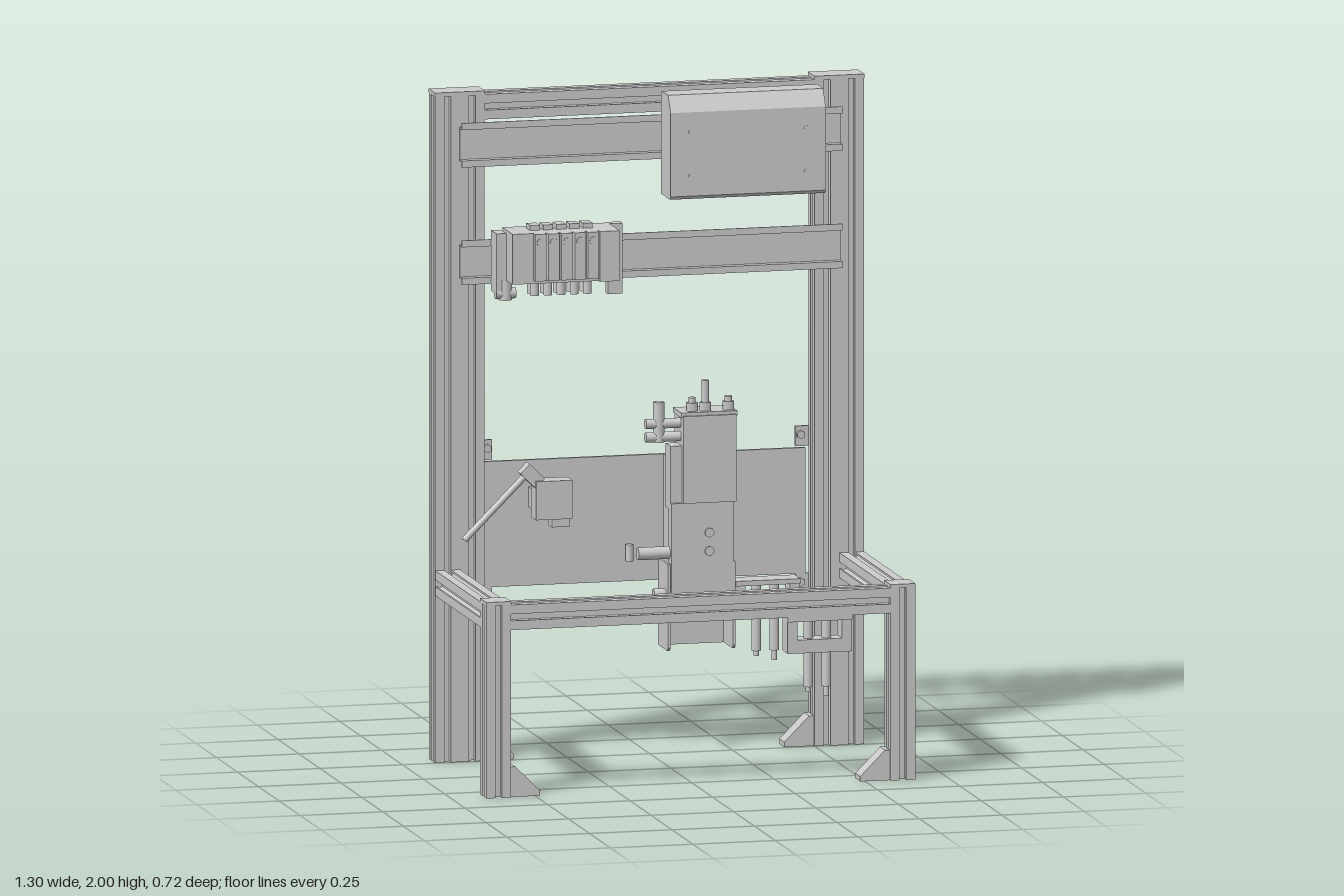
import * as THREE from 'three';

const mat = new THREE.MeshStandardMaterial({ color: 0xcccccc, flatShading: true, side: THREE.DoubleSide });
const smooth = new THREE.MeshStandardMaterial({ color: 0xcccccc });

export function createModel() {
  const root = new THREE.Group();
  const group = (name) => { const g = new THREE.Group(); g.name = name; root.add(g); return g; };
  const add = (parent, name, geo, m = mat) => {
    const mesh = new THREE.Mesh(geo, m);
    mesh.name = name;
    parent.add(mesh);
    return mesh;
  };
  // box from its min and max corners
  const box = (p, name, x0, x1, y0, y1, z0, z1) => {
    const b = add(p, name, new THREE.BoxGeometry(x1 - x0, y1 - y0, z1 - z0));
    b.position.set((x0 + x1) / 2, (y0 + y1) / 2, (z0 + z1) / 2);
    return b;
  };
  // cylinder between two points
  const rod = (p, name, a, b, r, sides = 16) => {
    const A = new THREE.Vector3(...a), d = new THREE.Vector3(...b).sub(A);
    const c = add(p, name, new THREE.CylinderGeometry(r, r, d.length(), sides), smooth);
    c.position.copy(A).addScaledVector(d, 0.5);
    c.quaternion.setFromUnitVectors(new THREE.Vector3(0, 1, 0), d.normalize());
    return c;
  };
  const poly = (pts) => new THREE.Shape(pts.map((q) => new THREE.Vector2(...q)));
  const extrude = (shape, depth) => new THREE.ExtrudeGeometry(shape, { depth, bevelEnabled: false });
  // extrude a [z, y] outline along x
  const alongX = (p, name, pts, x0, x1) => {
    const m = add(p, name, extrude(poly(pts.map(([z, y]) => [-z, y])), x1 - x0));
    m.rotation.y = Math.PI / 2;
    m.position.x = x0;
    return m;
  };

  // slotted aluminium section, n cells wide, T-slots on every side
  const C = 0.075;
  const slotted = (n) => {
    const w = n * C, pts = [];
    const side = (ox, oy, dx, dy, cells) => {
      const at = (s, d) => pts.push([ox + dx * s - dy * d, oy + dy * s + dx * d]);
      at(0, 0);
      for (let i = 0; i < cells; i++) {
        const m = (i + 0.5) * C;
        [[-0.01, 0], [-0.01, 0.006], [-0.019, 0.006], [-0.01, 0.021],
          [0.01, 0.021], [0.019, 0.006], [0.01, 0.006], [0.01, 0]].forEach(([s, d]) => at(m + s, d));
      }
    };
    side(-w / 2, -C / 2, 1, 0, n);
    side(w / 2, -C / 2, 0, 1, 1);
    side(w / 2, C / 2, -1, 0, n);
    side(-w / 2, C / 2, 0, -1, 1);
    const s = poly(pts);
    for (let i = 0; i < n; i++) {
      s.holes.push(new THREE.Path().absarc((i + 0.5) * C - w / 2, 0, 0.008, 0, Math.PI * 2, true));
    }
    return s;
  };
  const beam = (p, name, axis, n, len, x, y, z) => {
    const geo = extrude(slotted(n), len).translate(0, 0, -len / 2);
    if (axis === 'y') geo.rotateX(-Math.PI / 2);
    if (axis === 'x') geo.rotateY(Math.PI / 2);
    add(p, name, geo).position.set(x, y, z);
  };

  // frame
  const frame = group('frame');
  for (const s of [-1, 1]) {
    beam(frame, 'rearPost', 'y', 2, 1.99, s * 0.575, 0.995, -0.29);
    box(frame, 'postCap', s * 0.575 - 0.076, s * 0.575 + 0.076, 1.988, 2, -0.329, -0.251);
    beam(frame, 'frontLeg', 'y', 1, 0.575, s * 0.6125, 0.2875, 0.322);
    box(frame, 'legCap', s * 0.6125 - 0.038, s * 0.6125 + 0.038, 0.574, 0.585, 0.284, 0.36);
    beam(frame, 'sideRail', 'z', 1, 0.536, s * 0.6125, 0.537, 0.016);
    // sloping feet on the inner side of each upright
    for (const [x, z] of [[0.5, -0.29], [0.575, 0.322]]) {
      const foot = poly([[0, 0], [0.09, 0], [0.09, 0.015], [0.015, 0.09], [0, 0.09]].map(([a, b]) => [s * (x - a), b]));
      add(frame, 'footGusset', extrude(foot, 0.06)).position.z = z - 0.03;
    }
  }
  beam(frame, 'frontRail', 'x', 1, 1.15, 0, 0.537, 0.322);
  beam(frame, 'topRail', 'x', 1, 1, 0, 1.952, -0.29);

  // top-hat mounting rails
  const rails = group('mountingRails');
  for (const y of [1.495, 1.845]) {
    const half = [[-0.222, 0.066], [-0.222, 0.046], [-0.246, 0.046]];
    const inner = [[-0.25, 0.05], [-0.227, 0.05], [-0.227, 0.066]];
    const pts = [...half, ...half.slice().reverse().map(([z, v]) => [z, -v]),
      ...inner.slice().reverse().map(([z, v]) => [z, -v]), ...inner];
    alongX(rails, 'hatRail', pts, -0.577, 0.577).position.y = y;
  }

  // control box with chamfered top
  const control = group('controlBox');
  alongX(control, 'cover', [[-0.195, 1.68], [-0.09, 1.68], [-0.08, 1.69], [-0.08, 1.94],
    [-0.112, 1.988], [-0.185, 1.988], [-0.198, 1.975], [-0.198, 1.69]], 0.02, 0.49);
  box(control, 'railClip', 0.11, 0.4, 1.77, 1.93, -0.222, -0.197);
  for (const y of [1.775, 1.915]) box(control, 'clipHook', 0.11, 0.4, y - 0.008, y + 0.008, -0.243, -0.197);
  for (const x of [0.08, 0.43]) for (const y of [1.75, 1.88]) {
    rod(control, 'coverScrew', [x, y, -0.082], [x, y, -0.078], 0.006);
  }

  // valve island
  const valves = group('valveIsland');
  box(valves, 'manifold', -0.46, -0.14, 1.45, 1.6, -0.2, -0.075);
  box(valves, 'leftEnd', -0.49, -0.46, 1.41, 1.59, -0.215, -0.15);
  box(valves, 'rightEnd', -0.145, -0.1, 1.39, 1.6, -0.21, -0.18);
  box(valves, 'endBlock', -0.2, -0.14, 1.45, 1.6, -0.2, -0.06);
  box(valves, 'railFoot', -0.36, -0.25, 1.45, 1.56, -0.225, -0.2);
  for (let i = 0; i < 5; i++) {
    const x = -0.38 + i * 0.04;
    box(valves, 'valve', x - 0.017, x + 0.017, 1.46, 1.6, -0.19, -0.055);
    box(valves, 'valveTop', x - 0.015, x + 0.015, 1.6, 1.615, -0.17, -0.125);
    rod(valves, 'button', [x, 1.575, -0.06], [x, 1.575, -0.052], 0.012);
    for (const z of [-0.17, -0.13]) rod(valves, 'hoseFitting', [x, 1.405, z], [x, 1.46, z], 0.013);
  }
  rod(valves, 'elbow', [-0.46, 1.45, -0.165], [-0.46, 1.39, -0.165], 0.02);
  rod(valves, 'elbowPort', [-0.49, 1.41, -0.165], [-0.43, 1.41, -0.165], 0.017);

  // rear mounting plate
  const plate = group('backPlate');
  box(plate, 'panel', -0.49, 0.49, 0.505, 0.88, -0.335, -0.323);
  for (const s of [-1, 1]) for (const y of [0.48, 0.92]) {
    box(plate, 'cornerTab', s * 0.48 - 0.02, s * 0.48 + 0.02, y - 0.035, y + 0.025, -0.333, -0.324);
    rod(plate, 'cornerBolt', [s * 0.475, y, -0.342], [s * 0.475, y, -0.312], 0.013, 6);
  }
  for (const x of [-0.35, -0.27]) rod(plate, 'plateBolt', [x, 0.76, -0.35], [x, 0.76, -0.33], 0.014);
  for (const y of [0.59, 0.64, 0.73, 0.78]) rod(plate, 'slideBolt', [0.17, y, -0.352], [0.17, y, -0.33], 0.014);

  // vertical slide with its guard channel
  const slide = group('verticalSlide');
  box(slide, 'channelBack', 0.045, 0.25, 0.31, 0.62, -0.332, -0.322);
  const cheek = [[-0.33, 0.31], [-0.22, 0.31], [-0.21, 0.32], [-0.21, 0.57], [-0.33, 0.57]];
  for (const x of [0.045, 0.242]) alongX(slide, 'channelSide', cheek, x, x + 0.008);
  box(slide, 'body', 0.06, 0.245, 0.45, 0.88, -0.323, -0.235);
  box(slide, 'carriage', 0.055, 0.245, 0.45, 0.75, -0.245, -0.21);
  box(slide, 'cylinder', 0.09, 0.25, 0.75, 1.01, -0.31, -0.203);
  box(slide, 'cylinderCap', 0.085, 0.255, 1.005, 1.02, -0.31, -0.21);
  box(slide, 'sensorStrip', 0.055, 0.09, 0.73, 0.92, -0.28, -0.22);
  for (const y of [0.605, 0.66]) rod(slide, 'carriageScrew', [0.17, y, -0.212], [0.17, y, -0.204], 0.014);
  for (const [x, h] of [[0.165, 1.11], [0.235, 1.06], [0.125, 1.06]]) {
    rod(slide, 'stopScrew', [x, 1.01, -0.24], [x, h, -0.24], 0.011);
    rod(slide, 'lockNut', [x, 1.02, -0.24], [x, 1.045, -0.24], 0.018, 6);
  }
  for (const y of [0.945, 0.985]) rod(slide, 'airPort', [-0.015, y, -0.245], [0.095, y, -0.245], 0.015);
  rod(slide, 'airElbow', [0.025, 0.93, -0.245], [0.025, 1.05, -0.245], 0.017);
  rod(slide, 'lowerPort', [-0.04, 0.6, -0.24], [0.06, 0.6, -0.24], 0.019);
  rod(slide, 'lowerElbow', [-0.065, 0.63, -0.24], [-0.065, 0.58, -0.24], 0.012);
  rod(slide, 'sideScrew', [0.01, 0.475, -0.25], [0.05, 0.475, -0.25], 0.017);

  // sensor block with angled arm
  const sensor = group('sensorBlock');
  box(sensor, 'housing', -0.37, -0.26, 0.73, 0.845, -0.21, -0.15);
  box(sensor, 'nub', -0.32, -0.265, 0.705, 0.73, -0.2, -0.16);
  box(sensor, 'standOff', -0.35, -0.27, 0.74, 0.8, -0.323, -0.21);
  rod(sensor, 'arm', [-0.58, 0.675, -0.18], [-0.395, 0.86, -0.18], 0.01);
  const head = box(sensor, 'armHead', -0.41, -0.345, 0.84, 0.88, -0.2, -0.16);
  head.rotation.z = -Math.PI / 4;

  // twin probe units, one under the front rail and one at the back plate
  for (const z of [0.322, -0.3]) {
    const probe = group('probeUnit');
    probe.position.z = z;
    box(probe, 'topPlate', 0.265, 0.46, 0.485, 0.5, -0.035, 0.035);
    box(probe, 'bottomPlate', 0.265, 0.46, 0.39, 0.43, -0.03, 0.03);
    for (const x of [0.265, 0.43]) box(probe, 'bracketSide', x, x + 0.03, 0.43, 0.49, -0.03, 0.03);
    for (const [x, low] of [[0.335, 0.27], [0.39, 0.255]]) {
      rod(probe, 'probeBody', [x, 0.285, 0], [x, 0.5, 0], 0.014);
      rod(probe, 'probeTip', [x, low, 0], [x, 0.3, 0], 0.008);
      if (z < 0) rod(probe, 'rearScrew', [x, 0.41, -0.06], [x, 0.41, -0.02], 0.012);
    }
  }
  return root;
}
